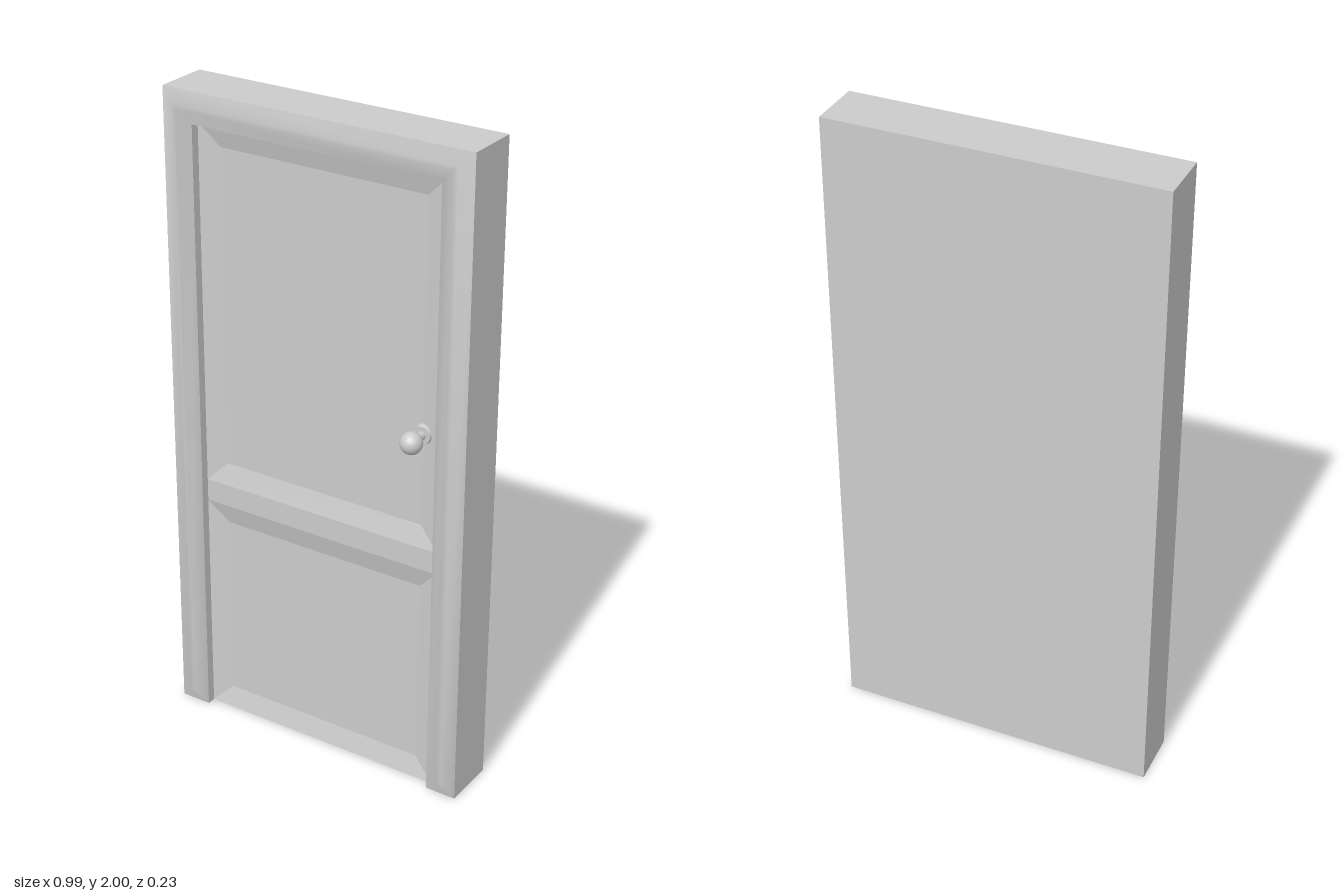
import * as THREE from 'three';
import { toCreasedNormals } from 'three/addons/utils/BufferGeometryUtils.js';

const W = 0.497, H = 2;            // outer half width and height
const w = 0.4, h = 1.905;          // opening half width and height
const BACK = -0.115, WALL = -0.005; // back of the slab, front of the slab
const DOOR = 0.028, RECESS = 0.012; // raised door face, sunken panel face

// Panel with a mitred slope running down to a sunken rectangle
function panelGeometry(y0, y1, slope) {
  const ring = (inset, z) => [
    [-w + inset, y0 + inset, z], [w - inset, y0 + inset, z],
    [w - inset, y1 - inset, z], [-w + inset, y1 - inset, z],
  ];
  const rings = [ring(0, WALL), ring(0, DOOR), ring(slope, RECESS)];
  const pos = [];
  const quad = (a, b, c, d) => pos.push(...a, ...b, ...c, ...a, ...c, ...d);
  for (let r = 0; r < 2; r++) {
    for (let i = 0; i < 4; i++) {
      const j = (i + 1) % 4;
      quad(rings[r][i], rings[r][j], rings[r + 1][j], rings[r + 1][i]);
    }
  }
  quad(...rings[2]);
  const g = new THREE.BufferGeometry();
  g.setAttribute('position', new THREE.Float32BufferAttribute(pos, 3));
  g.computeVertexNormals();
  return g;
}

export function createModel() {
  const group = new THREE.Group();
  const mat = new THREE.MeshStandardMaterial({ color: 0xcccccc });
  const add = (name, geometry, x = 0, y = 0, z = 0) => {
    const mesh = new THREE.Mesh(geometry, mat);
    mesh.name = name;
    mesh.position.set(x, y, z);
    group.add(mesh);
    return mesh;
  };

  // Solid slab behind the door and frame
  add('backSlab', new THREE.BoxGeometry(2 * W, H, WALL - BACK), 0, H / 2, (WALL + BACK) / 2);

  // Door frame: two jambs and a head, with softly shaded chamfers
  const outline = new THREE.Shape([
    [-W, 0], [-w, 0], [-w, h], [w, h], [w, 0], [W, 0], [W, H], [-W, H],
  ].map(([x, y]) => new THREE.Vector2(x, y)));
  const frame = new THREE.ExtrudeGeometry(outline, {
    depth: 0.06, bevelEnabled: true, bevelSegments: 1,
    bevelThickness: 0.016, bevelSize: 0.042, bevelOffset: -0.042,
  });
  add('doorFrame', toCreasedNormals(frame, 0.6), 0, 0, WALL);

  // Door leaf: two sunken panels with a rail between them
  add('lowerPanel', panelGeometry(0, 0.72, 0.065));
  add('upperPanel', panelGeometry(0.79, h, 0.065));
  add('middleRail', new THREE.BoxGeometry(2 * w, 0.07, DOOR - WALL), 0, 0.755, (DOOR + WALL) / 2);

  // Knob with its neck and round plate
  const kx = 0.34, ky = 1.145;
  add('knobPlate', new THREE.CylinderGeometry(0.026, 0.03, 0.016, 24), kx, ky, 0.019).rotation.x = Math.PI / 2;
  add('knobNeck', new THREE.CylinderGeometry(0.013, 0.013, 0.06, 16), kx, ky, 0.045).rotation.x = Math.PI / 2;
  add('knob', new THREE.SphereGeometry(0.033, 24, 16), kx, ky, 0.082);

  return group;
}
